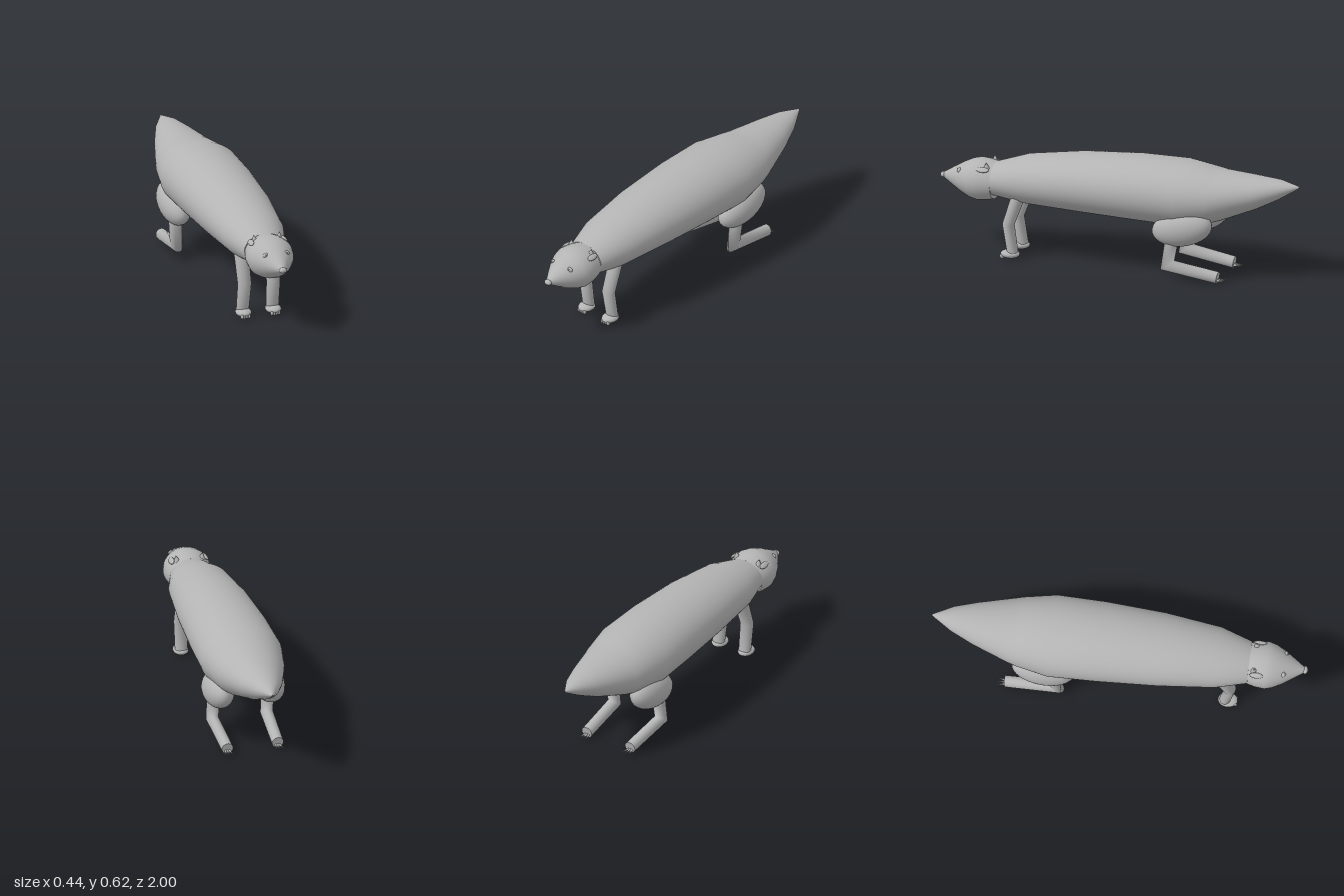
import * as THREE from 'three';

const fur = new THREE.MeshStandardMaterial({ color: 0xb4b4b4 });
fur.name = 'grey fur';

// Closed skin over elliptical rings [x, y, z, rx, ry]; rings are upright or mitred along the path
function loft(rings, mitred, sides = 40) {
  const pos = [], idx = [];
  const at = (i) => new THREE.Vector3(...rings[i].slice(0, 3));
  const n = rings.length;
  const addRing = (i) => {
    const [x, y, z, rx, ry] = rings[i];
    let uy = 1, uz = 0, stretch = 1;
    if (mitred) {
      const before = at(Math.max(i, 1)).sub(at(Math.max(i, 1) - 1)).setX(0).normalize();
      const j = Math.min(i, n - 2);
      const after = at(j + 1).sub(at(j)).setX(0).normalize();
      const d = before.clone().add(after).normalize();
      stretch = 1 / d.dot(after);
      uy = d.z;
      uz = -d.y;
    }
    for (let k = 0; k < sides; k++) {
      const a = (k / sides) * Math.PI * 2;
      const h = Math.sin(a) * ry * stretch;
      pos.push(x + Math.cos(a) * rx, y + h * uy, z + h * uz);
    }
  };
  rings.forEach((_, i) => addRing(i));
  for (let i = 0; i < n - 1; i++) {
    for (let k = 0; k < sides; k++) {
      const a = i * sides + k, b = i * sides + ((k + 1) % sides);
      idx.push(a, b, b + sides, a, b + sides, a + sides);
    }
  }
  // end caps with their own vertices keep a sharp rim
  for (const end of [0, n - 1]) {
    const start = pos.length / 3;
    addRing(end);
    pos.push(...rings[end].slice(0, 3));
    for (let k = 0; k < sides; k++) {
      const a = start + k, b = start + ((k + 1) % sides), c = start + sides;
      if (end) idx.push(c, a, b);
      else idx.push(c, b, a);
    }
  }
  const g = new THREE.BufferGeometry();
  g.setAttribute('position', new THREE.Float32BufferAttribute(pos, 3));
  g.setIndex(idx);
  g.computeVertexNormals();
  return g;
}

export function createModel() {
  const model = new THREE.Group();
  const add = (name, geometry, parent = model) => {
    const m = new THREE.Mesh(geometry, fur);
    m.name = name;
    parent.add(m);
    return m;
  };
  const ball = (name, p, s, r = [0, 0, 0], parent = model) => {
    const m = add(name, new THREE.SphereGeometry(1, 32, 20), parent);
    m.position.set(...p);
    m.scale.set(...s);
    m.rotation.set(...r);
    return m;
  };

  // Long body, from tail tip to neck: z, bottom, top, half width
  const bodyRows = [
    [-1, 0.535, 0.545, 0.004], [-0.89, 0.465, 0.57, 0.068], [-0.77, 0.402, 0.578, 0.115],
    [-0.58, 0.322, 0.588, 0.175], [-0.53, 0.305, 0.597, 0.189], [-0.36, 0.27, 0.624, 0.222],
    [-0.1, 0.277, 0.624, 0.217], [0.22, 0.288, 0.602, 0.199], [0.52, 0.3, 0.557, 0.165],
    [0.69, 0.322, 0.5, 0.114],
  ];
  add('body', loft(bodyRows.map(([z, b, t, w]) => [0, (b + t) / 2, z, w, (t - b) / 2]), false, 64));

  // Pointed head: z, half width
  const headRows = [
    [0.69, 0.112], [0.73, 0.122], [0.78, 0.127], [0.82, 0.116],
    [0.87, 0.09], [0.93, 0.05], [0.985, 0.012],
  ];
  add('head', loft(headRows.map(([z, w]) => [0, 0.4, z, w, w * 0.895]), false, 48));
  ball('nose', [0, 0.4, 0.983], [0.022, 0.015, 0.016]);
  ball('mouth', [0, 0.32, 0.867], [0.025, 0.004, 0.008]);

  for (const s of [1, -1]) {
    const side = s > 0 ? 'left' : 'right';

    // Eyes with a small pupil
    ball(side + 'Eye', [s * 0.06, 0.453, 0.875], [0.015, 0.011, 0.011], [0, 0, -s * 0.6]);
    ball(side + 'Pupil', [s * 0.057, 0.457, 0.884], [0.006, 0.004, 0.005]);

    // Pointed ear and the flap beside it
    const ear = add(side + 'Ear', new THREE.ConeGeometry(0.018, 0.035, 20));
    ear.position.set(s * 0.07, 0.497, 0.72);
    ear.rotation.z = -s * 0.15;
    ball(side + 'EarFlap', [s * 0.093, 0.478, 0.735], [0.016, 0.008, 0.035], [0, 0, -s * 0.7]);

    // Front leg, paw and toes
    add(side + 'FrontLeg', loft([
      [s * 0.08, 0.345, 0.54, 0.039, 0.036], [s * 0.08, 0.19, 0.594, 0.037, 0.031],
      [s * 0.083, 0.03, 0.568, 0.034, 0.029],
    ], true));
    ball(side + 'FrontPaw', [s * 0.083, 0.028, 0.583], [0.042, 0.023, 0.052]);
    for (let i = 0; i < 4; i++) {
      ball(side + 'Toe', [s * 0.083 + (i - 1.5) * 0.013, 0.017, 0.621], [0.008, 0.014, 0.014]);
    }

    // Hind leg: thigh, bent shin and long foot
    ball(side + 'Thigh', [s * 0.138, 0.291, -0.393], [0.08, 0.096, 0.168], [0.22, 0, 0]);
    add(side + 'HindLeg', loft([
      [s * 0.148, 0.24, -0.342, 0.035, 0.036], [s * 0.148, 0.082, -0.315, 0.033, 0.033],
      [s * 0.137, 0.038, -0.592, 0.031, 0.032],
    ], true));
    for (let i = -1; i <= 1; i++) {
      const claw = add(side + 'Claw', new THREE.ConeGeometry(0.007, 0.05, 12));
      claw.position.set(s * 0.137 + i * 0.015, 0.024, -0.614);
      claw.rotation.set(-Math.PI / 2, 0, -i * 0.2);
    }
  }
  return model;
}
